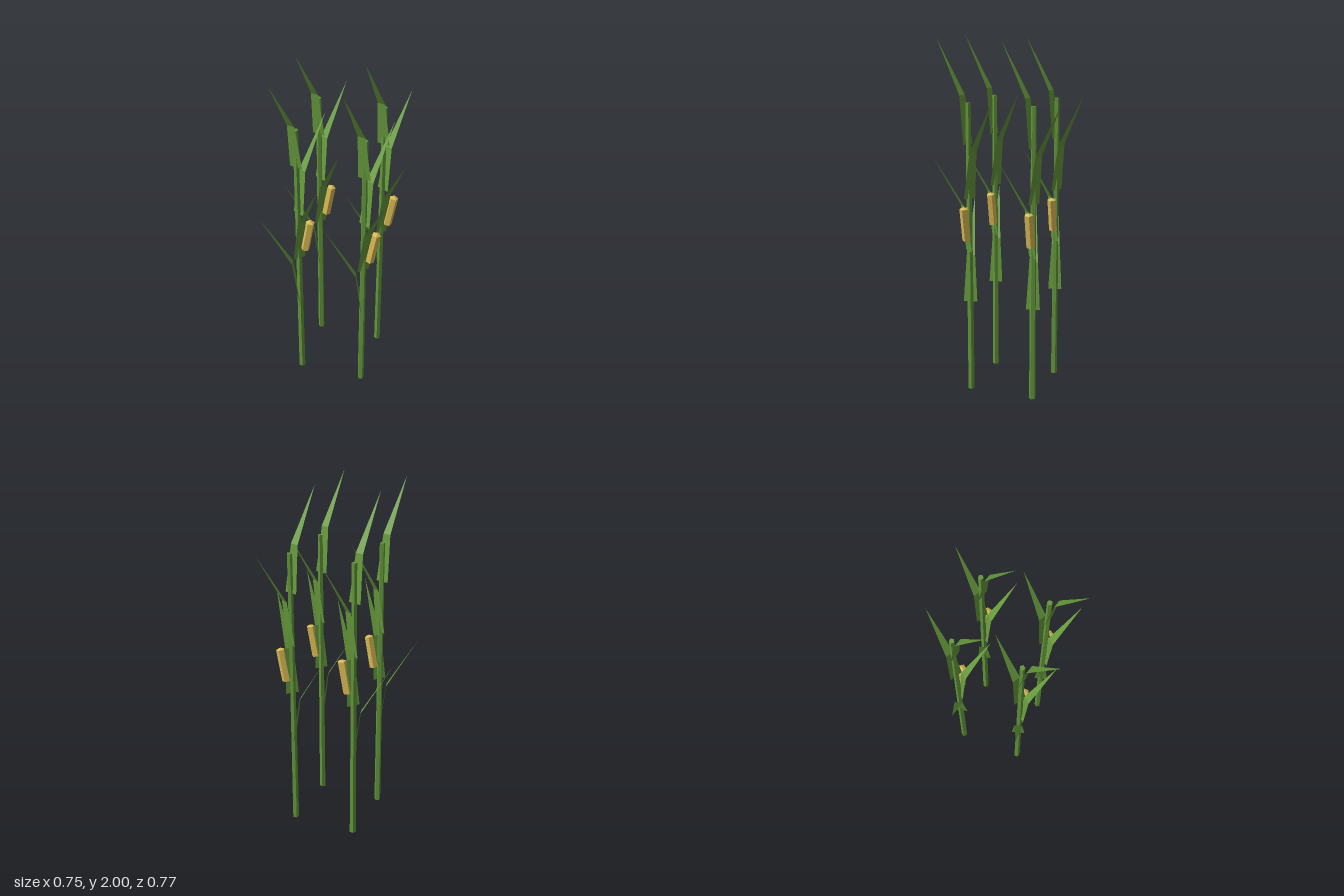
import * as THREE from 'three';

const leafGreen = new THREE.MeshStandardMaterial({ name: 'leafGreen', color: 0x669a3c, side: THREE.DoubleSide, flatShading: true });
const stalkGreen = new THREE.MeshStandardMaterial({ name: 'stalkGreen', color: 0x62963a, flatShading: true });
const cobYellow = new THREE.MeshStandardMaterial({ name: 'cobYellow', color: 0xdcbc55, flatShading: true });

const deg = THREE.MathUtils.degToRad;

// Flat blade growing along +x: a tapering sheath, then a long pointed tip
function leafGeometry() {
  const geometry = new THREE.BufferGeometry();
  geometry.setAttribute('position', new THREE.Float32BufferAttribute([
    0.004, 0, 0.039, 0.004, 0, -0.039,
    0.04, 0.265, 0.024, 0.04, 0.265, -0.024,
    0.214, 0.56, 0,
  ], 3));
  geometry.setIndex([0, 2, 1, 1, 2, 3, 2, 4, 3]);
  geometry.computeVertexNormals();
  return geometry;
}

// Five-sided cob with a shallow pointed top
function cobGeometry() {
  const profile = [[0, 0], [0.025, 0], [0.025, 0.19], [0, 0.2]];
  return new THREE.LatheGeometry(profile.map(([r, y]) => new THREE.Vector2(r, y)), 5);
}

export function createModel() {
  const model = new THREE.Group();
  model.name = 'cornPlants';

  const stalkGeo = new THREE.CylinderGeometry(0.015, 0.019, 1.665, 5);
  stalkGeo.translate(0, 1.665 / 2, 0);
  const leafGeo = leafGeometry();
  const cobGeo = cobGeometry();

  // Leaf directions, lowest first, measured from +x towards +z
  const leafAngles = [164.5, 41, -61, 105];

  // x, z, turn of the stalk, turn of the cob
  const plants = [
    [-0.168, 0.183, 20, 54],
    [0.21, 0.183, 45, 90],
    [-0.168, -0.195, 60, 90],
    [0.21, -0.195, 5, 112],
  ];

  for (const [x, z, stalkTurn, cobTurn] of plants) {
    const plant = new THREE.Group();
    plant.name = 'plant';
    plant.position.set(x, 0, z);
    model.add(plant);

    const stalk = new THREE.Mesh(stalkGeo, stalkGreen);
    stalk.name = 'stalk';
    stalk.rotation.y = deg(stalkTurn);
    plant.add(stalk);

    // Leaves climb the stalk at even steps
    leafAngles.forEach((angle, i) => {
      const leaf = new THREE.Mesh(leafGeo, leafGreen);
      leaf.name = 'leaf';
      leaf.position.y = 0.533 + i * 0.302;
      leaf.rotation.y = -deg(angle);
      plant.add(leaf);
    });

    // Cob leans outward from the stalk
    const cob = new THREE.Mesh(cobGeo, cobYellow);
    cob.name = 'cob';
    cob.position.set(0.038, 0.907, 0);
    cob.rotation.set(0, deg(cobTurn), -0.18, 'ZYX');
    plant.add(cob);
  }
  return model;
}
